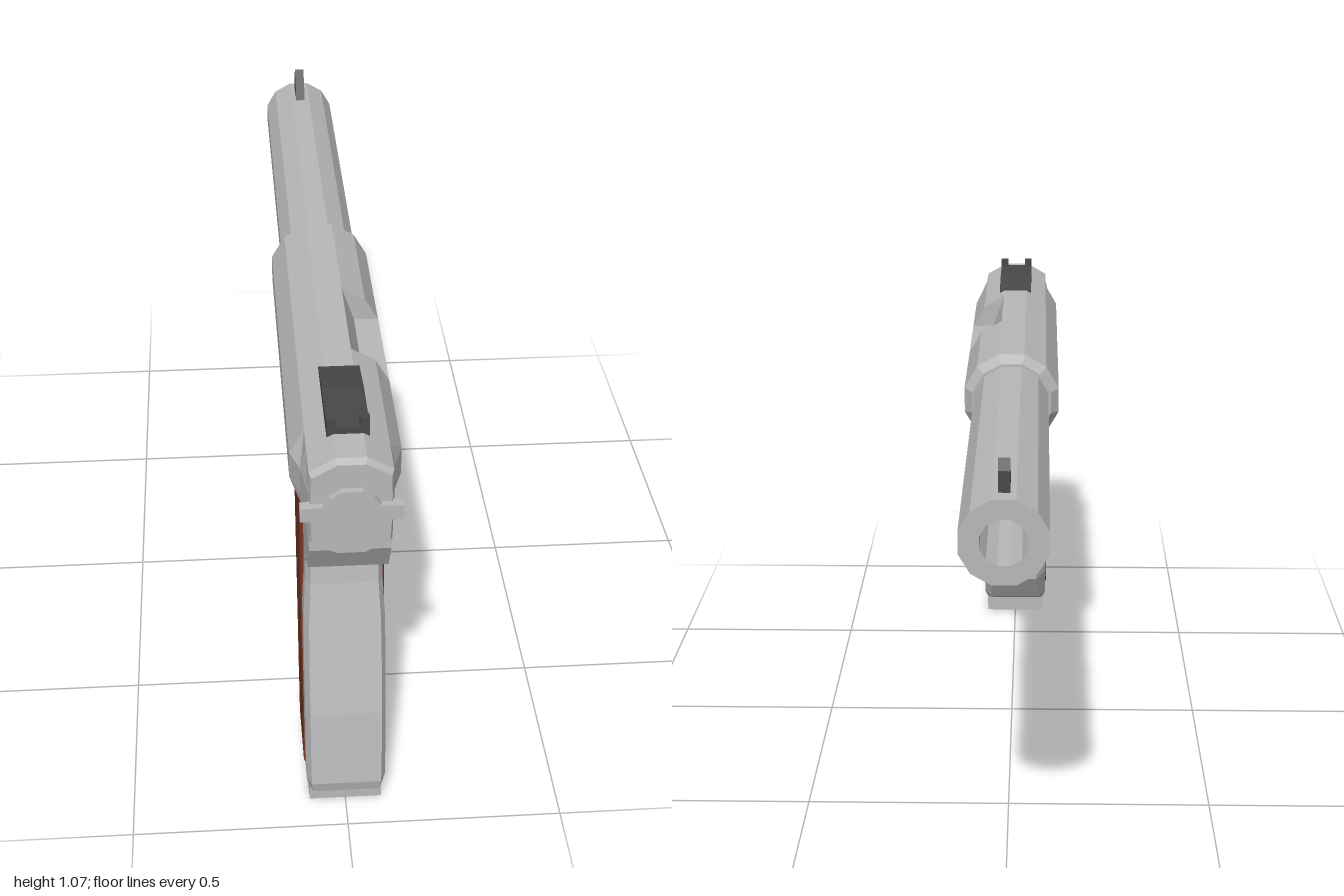
import * as THREE from 'three';

const steel = new THREE.MeshStandardMaterial({ name: 'steel grey', color: 0xb8b8ba });
const dark = new THREE.MeshStandardMaterial({ name: 'blackened steel', color: 0x484848 });
const wood = new THREE.MeshStandardMaterial({ name: 'walnut brown', color: 0x713422 });

const AXIS_Y = 0.91; // height of the bore line

// Plate cut from a side profile of [z, y] points, spanning x0..x1
function slab(profile, x0, x1, bevel = 0) {
  const shape = new THREE.Shape(profile.map(([z, y]) => new THREE.Vector2(-z, y)));
  const geo = new THREE.ExtrudeGeometry(shape, {
    depth: x1 - x0 - 2 * bevel, bevelEnabled: bevel > 0, bevelSize: bevel,
    bevelThickness: bevel, bevelOffset: -bevel, bevelSegments: 1,
  });
  return geo.rotateY(Math.PI / 2).translate(x0 + bevel, 0, 0);
}

// Flat-shaded skin over equal-length, counter-clockwise cross-sections, capped at both ends
function loft(sections) {
  const pos = [];
  const tri = (...pts) => pts.forEach((p) => pos.push(...p));
  const n = sections[0].length;
  for (let s = 0; s < sections.length - 1; s++) {
    const lo = sections[s], hi = sections[s + 1];
    for (let i = 0; i < n; i++) {
      const j = (i + 1) % n;
      tri(lo[i], lo[j], hi[j]);
      tri(lo[i], hi[j], hi[i]);
    }
  }
  const first = sections[0], last = sections[sections.length - 1];
  for (let i = 1; i < n - 1; i++) {
    tri(first[0], first[i + 1], first[i]);
    tri(last[0], last[i], last[i + 1]);
  }
  const geo = new THREE.BufferGeometry();
  geo.setAttribute('position', new THREE.Float32BufferAttribute(pos, 3));
  geo.computeVertexNormals();
  return geo;
}

// Twelve-sided ring with flats at top and sides
function ring(radius) {
  return Array.from({ length: 12 }, (_, i) => {
    const a = (i + 0.5) * Math.PI / 6;
    return new THREE.Vector2(Math.cos(a) * radius, Math.sin(a) * radius);
  });
}

function receiverSection(z, radius, maxX = 1, port = false) {
  const pts = ring(radius).map((p) => [THREE.MathUtils.clamp(p.x, -maxX, maxX), p.y + AXIS_Y, z]);
  if (port) pts[1] = [0.062, 0.945, z]; // pull the upper left corner in
  return pts;
}

// Eight-cornered grip section with separate rear and front chamfers
function gripSection([y, rear, front, half, chamfer]) {
  const r = 0.025, rx = half - 0.011, fx = half - chamfer * 0.45;
  return [
    [rx, y, rear], [half, y, rear - r], [half, y, front + chamfer], [fx, y, front],
    [-fx, y, front], [-half, y, front + chamfer], [-half, y, rear - r], [-rx, y, rear],
  ];
}

export function createModel() {
  const model = new THREE.Group();
  const add = (name, geo, mat) => {
    const mesh = new THREE.Mesh(geo, mat);
    mesh.name = name;
    model.add(mesh);
  };

  // Receiver with ejection port and pinched tail
  add('receiver', loft([
    receiverSection(-0.065, 0.104),
    receiverSection(-0.04, 0.124),
    receiverSection(0.285, 0.124),
    receiverSection(0.285, 0.124, 1, true),
    receiverSection(0.555, 0.124, 1, true),
    receiverSection(0.555, 0.124),
    receiverSection(0.82, 0.124),
    receiverSection(0.88, 0.124, 0.1),
    receiverSection(0.97, 0.124, 0.088),
    receiverSection(0.985, 0.116, 0.084),
  ]), steel);

  // Barrel with open bore
  const tube = new THREE.Shape(ring(0.097));
  tube.holes.push(new THREE.Path(ring(0.052).reverse()));
  const barrel = new THREE.ExtrudeGeometry(tube, { depth: 0.95, bevelEnabled: false });
  add('barrel', barrel.translate(0, AXIS_Y, -1), steel);

  // Frame under the receiver
  add('frame', slab([
    [0.965, 0.88], [0.965, 0.79], [0.92, 0.71], [0.86, 0.69], [0.825, 0.652], [0.43, 0.652],
    [0.4, 0.71], [0.03, 0.71], [-0.005, 0.765], [-0.035, 0.82], [-0.035, 0.88],
  ], -0.087, 0.087), steel);

  // Grip: height, rear z, front z, half width, front chamfer
  add('grip', loft([
    [0.05, 0.94, 0.645, 0.088, 0.02],
    [0.08, 0.947, 0.585, 0.092, 0.04],
    [0.16, 0.935, 0.535, 0.093, 0.06],
    [0.27, 0.917, 0.532, 0.093, 0.065],
    [0.4, 0.885, 0.512, 0.093, 0.06],
    [0.5, 0.858, 0.477, 0.092, 0.052],
    [0.59, 0.833, 0.453, 0.087, 0.035],
    [0.66, 0.822, 0.425, 0.0865, 0.01],
  ].map(gripSection)), steel);

  const magazine = new THREE.BoxGeometry(0.17, 0.06, 0.255);
  add('magazineBase', magazine.translate(0, 0.03, 0.788), steel);

  // Grip panels on both sides
  const panel = [
    [0.762, 0.805], [0.747, 0.7], [0.77, 0.53], [0.82, 0.34], [0.878, 0.085],
    [0.697, 0.08], [0.6, 0.42], [0.535, 0.64], [0.538, 0.805],
  ];
  add('leftGripPanel', slab(panel, 0.07, 0.0955, 0.004), wood);
  add('rightGripPanel', slab(panel, -0.0955, -0.07, 0.004), wood);

  // Trigger guard strap and trigger
  add('triggerGuard', slab([
    [0.49, 0.527], [0.165, 0.543], [0.135, 0.575], [0.127, 0.65], [0.14, 0.72],
    [0.158, 0.72], [0.146, 0.65], [0.151, 0.585], [0.172, 0.56], [0.49, 0.546],
  ], -0.045, 0.045), steel);
  add('trigger', slab([
    [0.378, 0.72], [0.378, 0.665], [0.36, 0.615], [0.335, 0.588], [0.305, 0.585],
    [0.332, 0.62], [0.346, 0.66], [0.338, 0.72],
  ], -0.02, 0.02), dark);

  // Rear sight: ramp, blade and two notch posts
  add('rearSightRamp', slab([
    [0.885, 1.02], [0.885, 1.045], [0.74, 1.047], [0.625, 1.03], [0.625, 1.02],
  ], -0.045, 0.045), dark);
  for (const side of [-1, 1]) {
    const post = new THREE.BoxGeometry(0.02, 0.03, 0.02);
    add(side > 0 ? 'leftSightPost' : 'rightSightPost', post.translate(side * 0.035, 1.05, 0.873), dark);
  }

  add('frontSight', slab([
    [-0.865, 0.995], [-0.94, 1.072], [-0.96, 1.05], [-0.96, 0.995],
  ], -0.0125, 0.0125), dark);

  // Bolt knob with two finger wings
  const quarter = [[0.107, 0.016], [0.06, 0.019], [0.046, 0.038], [0.022, 0.055]];
  const mirrored = (sx, sy) => quarter.map(([x, y]) => new THREE.Vector2(sx * x, sy * y));
  const knob = new THREE.Shape([
    ...mirrored(1, 1), ...mirrored(-1, 1).reverse(),
    ...mirrored(-1, -1), ...mirrored(1, -1).reverse(),
  ]);
  const knobGeo = new THREE.ExtrudeGeometry(knob, { depth: 0.025, bevelEnabled: false });
  add('boltKnob', knobGeo.translate(0, AXIS_Y, 0.975), steel);

  return model;
}
